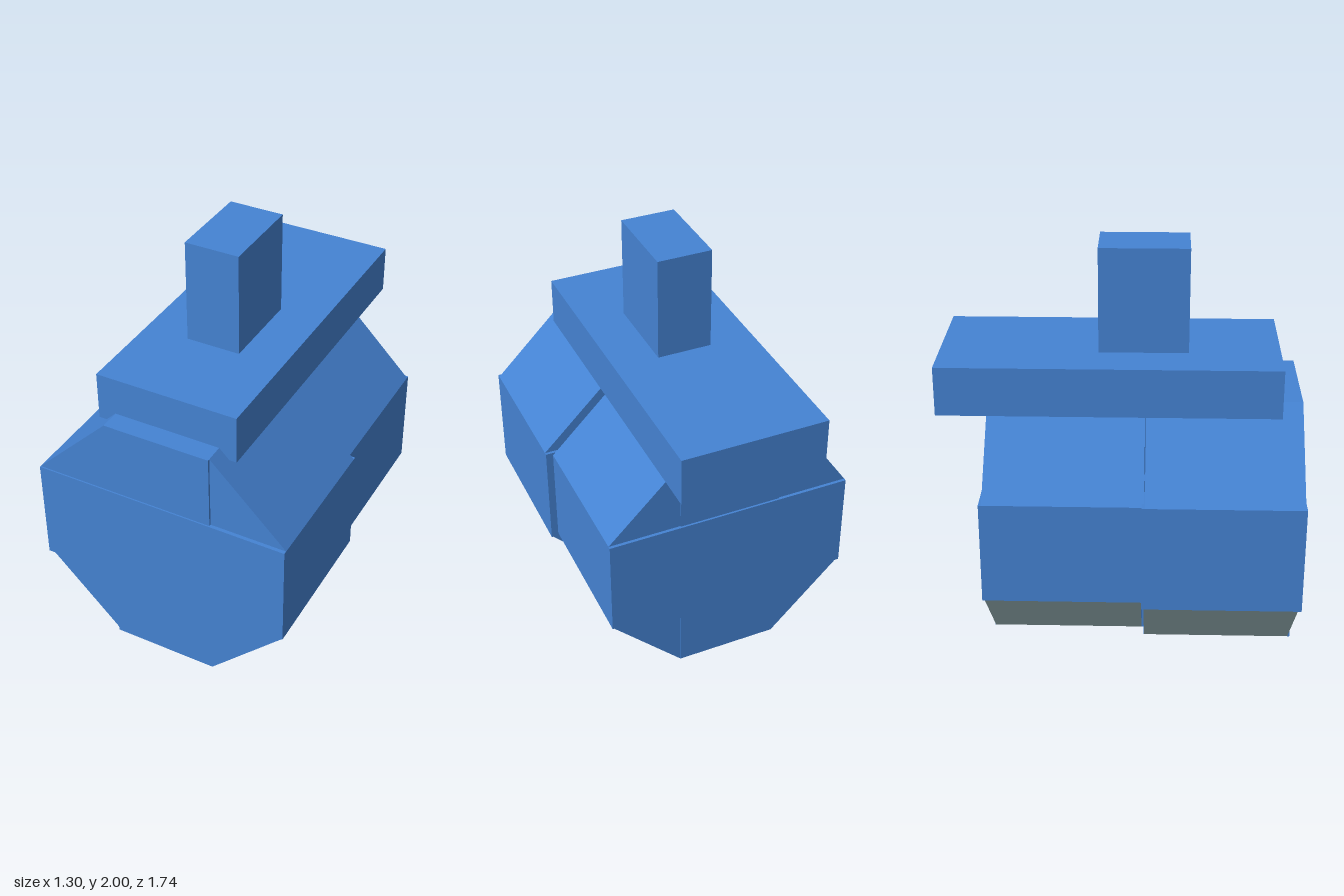
import * as THREE from 'three';

export function createModel() {
  const model = new THREE.Group();
  const blue = new THREE.MeshStandardMaterial({ color: 0x4583d3 });
  blue.name = 'blue';
  const grey = new THREE.MeshStandardMaterial({ color: 0xa4c0c4 });
  grey.name = 'pale grey';

  // Box given by its extents; the underside may have its own material
  function box(parent, name, [x0, x1], [y0, y1], [z0, z1], under = blue) {
    const geometry = new THREE.BoxGeometry(x1 - x0, y1 - y0, z1 - z0);
    const mesh = new THREE.Mesh(geometry, [blue, blue, blue, under, blue, blue]);
    mesh.position.set((x0 + x1) / 2, (y0 + y1) / 2, (z0 + z1) / 2);
    mesh.name = name;
    parent.add(mesh);
  }

  // Triangular prism filling one corner of the octagonal drum
  function wedge(parent, name, xIn, xOut, yMid, yEnd, [z0, z1], slope) {
    const shape = new THREE.Shape([
      new THREE.Vector2(xIn, yMid),
      new THREE.Vector2(xOut, yMid),
      new THREE.Vector2(xIn, yEnd),
    ]);
    const geometry = new THREE.ExtrudeGeometry(shape, { depth: z1 - z0, bevelEnabled: false });
    const mesh = new THREE.Mesh(geometry, [blue, slope]);
    mesh.position.z = z0;
    mesh.name = name;
    parent.add(mesh);
  }

  // Octagonal drum: wide middle block, narrower column and four corner wedges
  function drum(name, half, inner, [bottom, low, high, top], [z0, z1]) {
    const group = new THREE.Group();
    group.name = name;
    box(group, 'middleBlock', [-half, half], [low, high], [z0, z1]);
    box(group, 'lowerColumn', [-inner, inner], [bottom, low], [z0 + 0.01, z1 - 0.007], grey);
    box(group, 'upperColumn', [-inner, inner], [high, top], [z0 + 0.01, z1 - 0.007]);
    for (const side of [-1, 1]) {
      const upperZ = [z0 + 0.015, z1 - (side > 0 ? 0.018 : 0.007)];
      const lowerZ = [z0 + 0.012, z1 - (side < 0 ? 0.018 : 0.007)];
      wedge(group, 'upperWedge', side * inner, side * half, high, top, upperZ, blue);
      wedge(group, 'lowerWedge', side * inner, side * half, low, bottom, lowerZ, side < 0 ? grey : blue);
    }
    model.add(group);
  }

  drum('frontDrum', 0.648, 0.268, [0, 0.383, 0.92, 1.298], [0.108, 0.868]);
  drum('rearDrum', 0.612, 0.255, [0.037, 0.398, 0.907, 1.265], [-0.65, 0.125]);

  // Top plate and upright post
  box(model, 'topPlate', [-0.357, 0.355], [1.248, 1.488], [-0.868, 0.76]);
  box(model, 'post', [-0.136, 0.134], [1.488, 2], [-0.108, 0.322]);

  return model;
}
